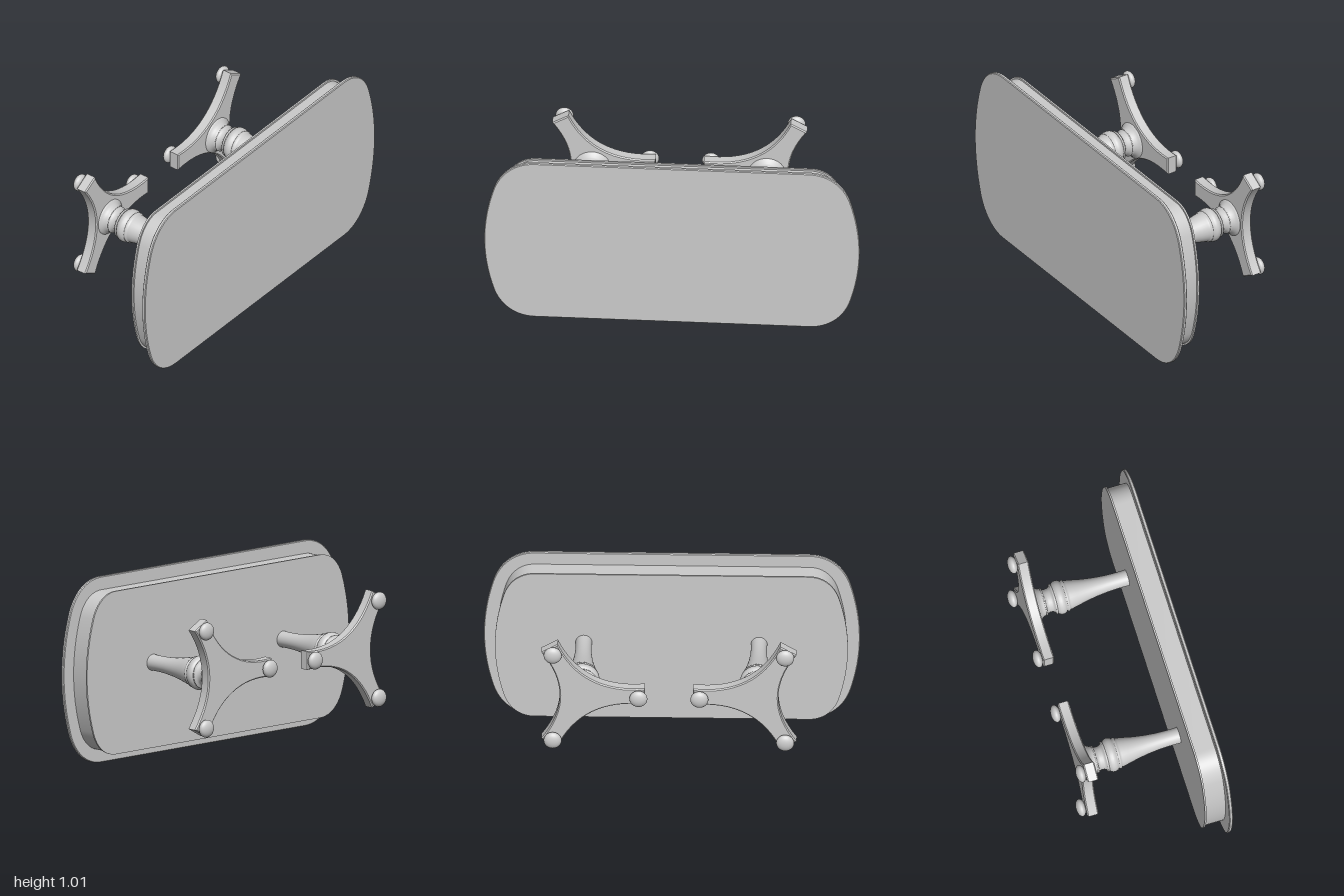
import * as THREE from 'three';
import { toCreasedNormals } from 'three/addons/utils/BufferGeometryUtils.js';

const material = new THREE.MeshStandardMaterial({ color: 0xcccccc });
const TOP_Y = 0.504, COLUMN_Y = 0.525, BASE_Y = 0.537, LEG_X = 0.466;

function mesh(name, geometry) {
  const m = new THREE.Mesh(geometry, material);
  m.name = name;
  return m;
}

// Bowed-end table outline, shrunk inward by o
function outline(o) {
  const h = 0.504 - o, s = 1 - o / 0.24;
  const ex = 0.95 - 0.955 * o, ey = 0.327 - 0.29 * o;
  const side = 1.05 - 1.045 * o, c1 = 0.73 + 0.12 * s;
  const cx = ex - 0.027 * s, cy = ey + 0.088 * s;
  const p = new THREE.Shape();
  p.moveTo(-0.73, -h);
  p.lineTo(0.73, -h);
  p.bezierCurveTo(c1, -h, cx, -cy, ex, -ey);
  p.quadraticCurveTo(side, 0, ex, ey);
  p.bezierCurveTo(cx, cy, c1, h, 0.73, h);
  p.lineTo(-0.73, h);
  p.bezierCurveTo(-c1, h, -cx, cy, -ex, ey);
  p.quadraticCurveTo(-side, 0, -ex, -ey);
  p.bezierCurveTo(-cx, -cy, -c1, -h, -0.73, -h);
  return p;
}

// Slab between two z values, with an optional small bevel
function slab(name, shape, z0, z1, bevel = 0) {
  const g = new THREE.ExtrudeGeometry(shape, {
    depth: z1 - z0 - 2 * bevel, curveSegments: 16, bevelEnabled: bevel > 0,
    bevelSize: bevel, bevelThickness: bevel, bevelOffset: -bevel, bevelSegments: 1,
  });
  g.translate(0, 0, z0 + bevel);
  return mesh(name, toCreasedNormals(g, 0.5));
}

// Three-armed base with concave sides; first arm points along -x
function baseShape() {
  const R = 0.338, w = 0.05, p = new THREE.Shape();
  for (let i = 0; i < 3; i++) {
    const a = Math.PI + i * Math.PI * 2 / 3, c = Math.cos(a), s = Math.sin(a);
    const x0 = R * c + w * s, y0 = R * s - w * c;
    if (i === 0) p.moveTo(x0, y0);
    p.lineTo(R * c - w * s, R * s + w * c);
    const b = a + Math.PI * 2 / 3, m = a + Math.PI / 3;
    p.quadraticCurveTo(0.018 * Math.cos(m), 0.018 * Math.sin(m),
      R * Math.cos(b) + w * Math.sin(b), R * Math.sin(b) - w * Math.cos(b));
  }
  return p;
}

// Turned column profile: [radius, z], from the base to the table
const columnProfile = [
  [0.1, -0.272], [0.1, -0.266], [0.092, -0.262], [0.08, -0.25], [0.075, -0.238],
  [0.075, -0.232], [0.07, -0.23], [0.075, -0.227], [0.075, -0.222], [0.067, -0.219],
  [0.063, -0.205], [0.065, -0.19], [0.071, -0.18], [0.082, -0.178], [0.084, -0.173],
  [0.082, -0.168], [0.078, -0.167], [0.087, -0.16], [0.092, -0.15], [0.093, -0.14],
  [0.092, -0.13], [0.087, -0.12], [0.08, -0.114], [0.085, -0.111], [0.086, -0.106],
  [0.084, -0.1], [0.079, -0.098], [0.079, -0.09], [0.071, -0.05], [0.06, 0],
  [0.051, 0.06], [0.045, 0.12], [0.043, 0.17], [0.043, 0.21], [0.044, 0.245],
];

function createPedestal(side) {
  const leg = new THREE.Group();
  leg.name = side > 0 ? 'leftPedestal' : 'rightPedestal';
  leg.position.x = side * LEG_X;

  const lathe = new THREE.LatheGeometry(columnProfile.map(([r, z]) => new THREE.Vector2(r, z)), 32);
  lathe.rotateX(Math.PI / 2);
  const column = mesh('column', lathe);
  column.position.y = COLUMN_Y;
  leg.add(column);

  // Base plate and its bun feet
  const base = new THREE.Group();
  base.name = 'base';
  base.position.y = BASE_Y;
  base.rotation.z = side > 0 ? 0 : Math.PI;
  base.add(slab('basePlate', baseShape(), -0.331, -0.27, 0.006));
  for (let i = 0; i < 3; i++) {
    const a = Math.PI + i * Math.PI * 2 / 3;
    const g = new THREE.SphereGeometry(0.048, 24, 14);
    g.rotateX(Math.PI / 2);
    g.scale(1, 1, 0.54);
    const foot = mesh('foot', g);
    foot.position.set(0.304 * Math.cos(a), 0.304 * Math.sin(a), -0.352);
    base.add(foot);
  }
  leg.add(base);
  return leg;
}

export function createModel() {
  const model = new THREE.Group();
  model.name = 'table';

  // Table top, apron and apron bead
  const top = new THREE.Group();
  top.name = 'top';
  top.position.y = TOP_Y;
  top.add(
    slab('tableTop', outline(0), 0.358, 0.378, 0.004),
    slab('apron', outline(0.072), 0.245, 0.36),
    slab('apronBead', outline(0.062), 0.24, 0.25),
  );
  model.add(top, createPedestal(1), createPedestal(-1));
  return model;
}
